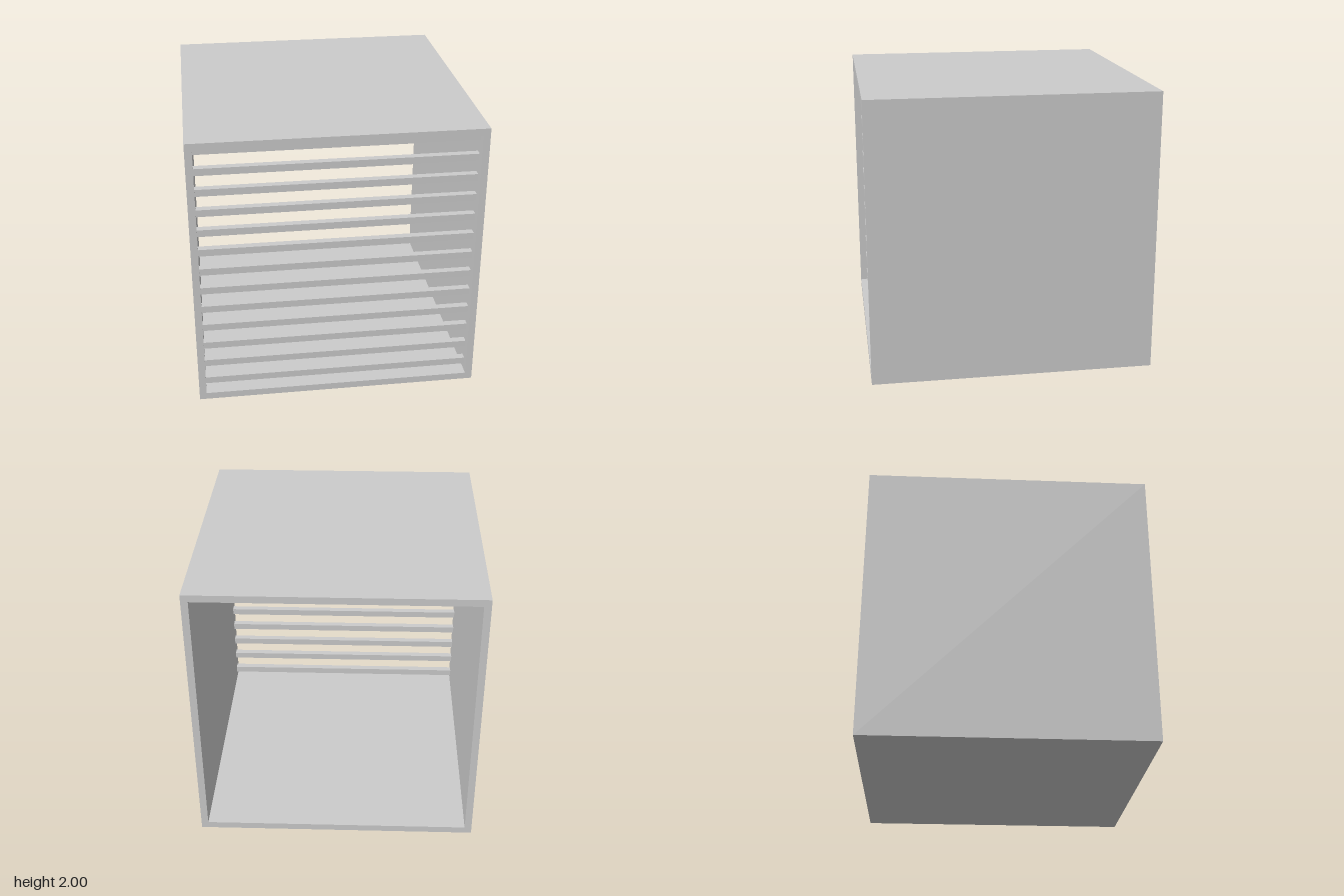
import * as THREE from 'three';

const SIZE = 2, WALL = 0.05, SLATS = 13, PITCH = 0.15;

// Square outline of a given half width, centred on the origin
function square(PathType, h) {
  return new PathType([[-h, -h], [h, -h], [h, h], [-h, h]].map(([x, y]) => new THREE.Vector2(x, y)));
}

export function createModel() {
  const group = new THREE.Group();
  group.name = 'slattedBox';
  const material = new THREE.MeshStandardMaterial({ color: 0xcccccc, flatShading: true });

  // Square sleeve, open at the front and back
  const outline = square(THREE.Shape, SIZE / 2);
  outline.holes.push(square(THREE.Path, SIZE / 2 - WALL));
  const shellGeometry = new THREE.ExtrudeGeometry(outline, { depth: SIZE, bevelEnabled: false });
  shellGeometry.translate(0, SIZE / 2, -SIZE / 2);
  const shell = new THREE.Mesh(shellGeometry, material);
  shell.name = 'shell';
  group.add(shell);

  // Horizontal slats, set back one wall thickness from the front opening
  const slats = new THREE.Group();
  slats.name = 'slats';
  const slatGeometry = new THREE.BoxGeometry(SIZE - 2 * WALL, WALL, WALL);
  for (let i = 0; i < SLATS; i++) {
    const slat = new THREE.Mesh(slatGeometry, material);
    slat.name = `slat${i + 1}`;
    slat.position.set(0, 0.125 + i * PITCH, SIZE / 2 - 1.5 * WALL);
    slats.add(slat);
  }
  group.add(slats);

  return group;
}
